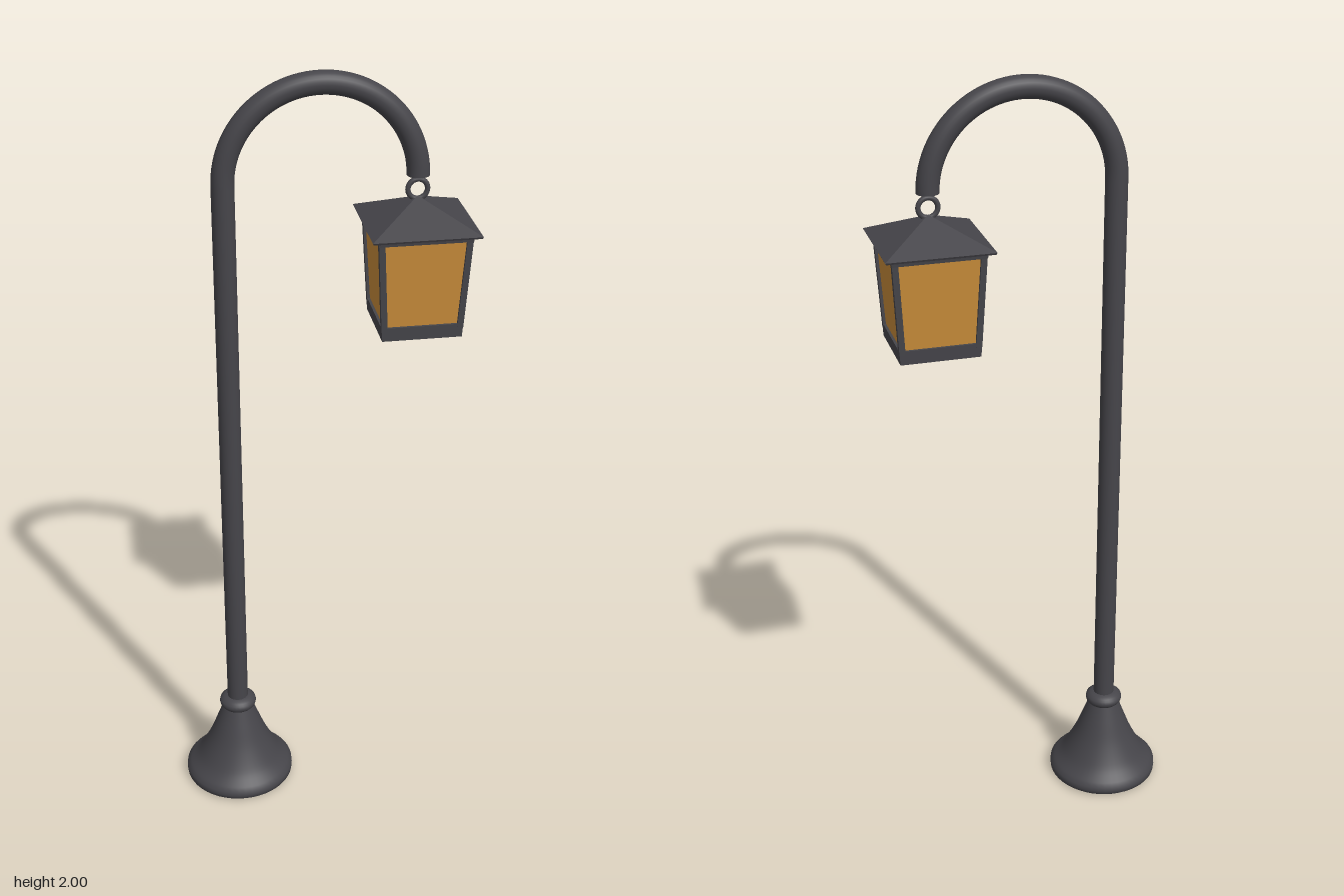
import * as THREE from 'three';

const POLE_X = -0.226, LAMP_X = 0.24, ARC_Y = 1.739;

const metal = new THREE.MeshStandardMaterial({ color: 0x46454a });
metal.name = 'dark iron';
const glass = new THREE.MeshStandardMaterial({ color: 0xc88c3a });
glass.name = 'amber glass';

function add(parent, name, geometry, material) {
  const mesh = new THREE.Mesh(geometry, material);
  mesh.name = name;
  parent.add(mesh);
  return mesh;
}

// Square block whose half width changes from bottom to top
function taperedBlock(bottomHalf, topHalf, y0, y1) {
  const g = new THREE.BoxGeometry(2, 1, 2).toNonIndexed();
  const p = g.attributes.position;
  for (let i = 0; i < p.count; i++) {
    const top = p.getY(i) > 0;
    const half = top ? topHalf : bottomHalf;
    p.setXYZ(i, p.getX(i) * half, top ? y1 : y0, p.getZ(i) * half);
  }
  g.computeVertexNormals();
  return g;
}

// Corner bar that leans outwards towards the top
function cornerBar(sx, sz) {
  const y0 = 1.38, y1 = 1.615, w = 0.015;
  const g = new THREE.BoxGeometry(w, 1, w).toNonIndexed();
  const p = g.attributes.position;
  for (let i = 0; i < p.count; i++) {
    const top = p.getY(i) > 0;
    const centre = (top ? 0.114 : 0.101) - w / 2;
    p.setXYZ(i, p.getX(i) + sx * centre, top ? y1 : y0, p.getZ(i) + sz * centre);
  }
  g.computeVertexNormals();
  return g;
}

// Pole path: straight up, then over a half circle
class PolePath extends THREE.Curve {
  getPoint(t, target = new THREE.Vector3()) {
    const r = (LAMP_X - POLE_X) / 2, rise = ARC_Y - 0.2;
    const s = t * (rise + Math.PI * r);
    if (s < rise) return target.set(POLE_X, 0.2 + s, 0);
    const a = Math.PI - (s - rise) / r;
    return target.set(POLE_X + r + r * Math.cos(a), ARC_Y + r * Math.sin(a), 0);
  }
}

export function createModel() {
  const model = new THREE.Group();
  model.name = 'streetLamp';

  // Flared foot
  const rim = [[0, 0], [0.14, 0], [0.147, 0.006], [0.148, 0.015], [0.147, 0.026], [0.138, 0.036]];
  const flare = new THREE.SplineCurve(
    [[0.138, 0.036], [0.112, 0.065], [0.082, 0.12], [0.058, 0.18], [0.04, 0.228]]
      .map(([x, y]) => new THREE.Vector2(x, y))).getPoints(20);
  const profile = rim.slice(0, 5).map(([x, y]) => new THREE.Vector2(x, y)).concat(flare);
  add(model, 'foot', new THREE.LatheGeometry(profile, 48), metal).position.x = POLE_X;

  // Rounded collar where the pole enters the foot
  const collar = [[0.027, 0.224], [0.043, 0.224], [0.048, 0.23], [0.05, 0.238], [0.048, 0.246],
    [0.042, 0.25], [0.037, 0.255], [0.027, 0.257]].map(([x, y]) => new THREE.Vector2(x, y));
  add(model, 'collar', new THREE.LatheGeometry(collar, 32), metal).position.x = POLE_X;

  // Pole with its curved arm, and a cap closing the arm's end
  add(model, 'pole', new THREE.TubeGeometry(new PolePath(), 160, 0.028, 24), metal);
  const cap = add(model, 'armEnd', new THREE.CircleGeometry(0.028, 24), metal);
  cap.rotation.x = Math.PI / 2;
  cap.position.set(LAMP_X, ARC_Y, 0);

  // Hanging lantern
  const lantern = new THREE.Group();
  lantern.name = 'lantern';
  lantern.position.x = LAMP_X;
  model.add(lantern);

  add(lantern, 'hangingRing', new THREE.TorusGeometry(0.024, 0.0065, 12, 32), metal).position.y = 1.704;

  add(lantern, 'roof', taperedBlock(0.1325, 0.002, 1.624, 1.686), metal);
  add(lantern, 'eave', taperedBlock(0.13, 0.1325, 1.619, 1.624), metal);
  add(lantern, 'topFrame', taperedBlock(0.114, 0.116, 1.606, 1.619), metal);
  add(lantern, 'glassPanes', taperedBlock(0.094, 0.107, 1.385, 1.61), glass);
  add(lantern, 'bottomFrame', taperedBlock(0.099, 0.101, 1.355, 1.39), metal);
  for (const sx of [-1, 1]) {
    for (const sz of [-1, 1]) add(lantern, 'cornerBar', cornerBar(sx, sz), metal);
  }
  return model;
}
